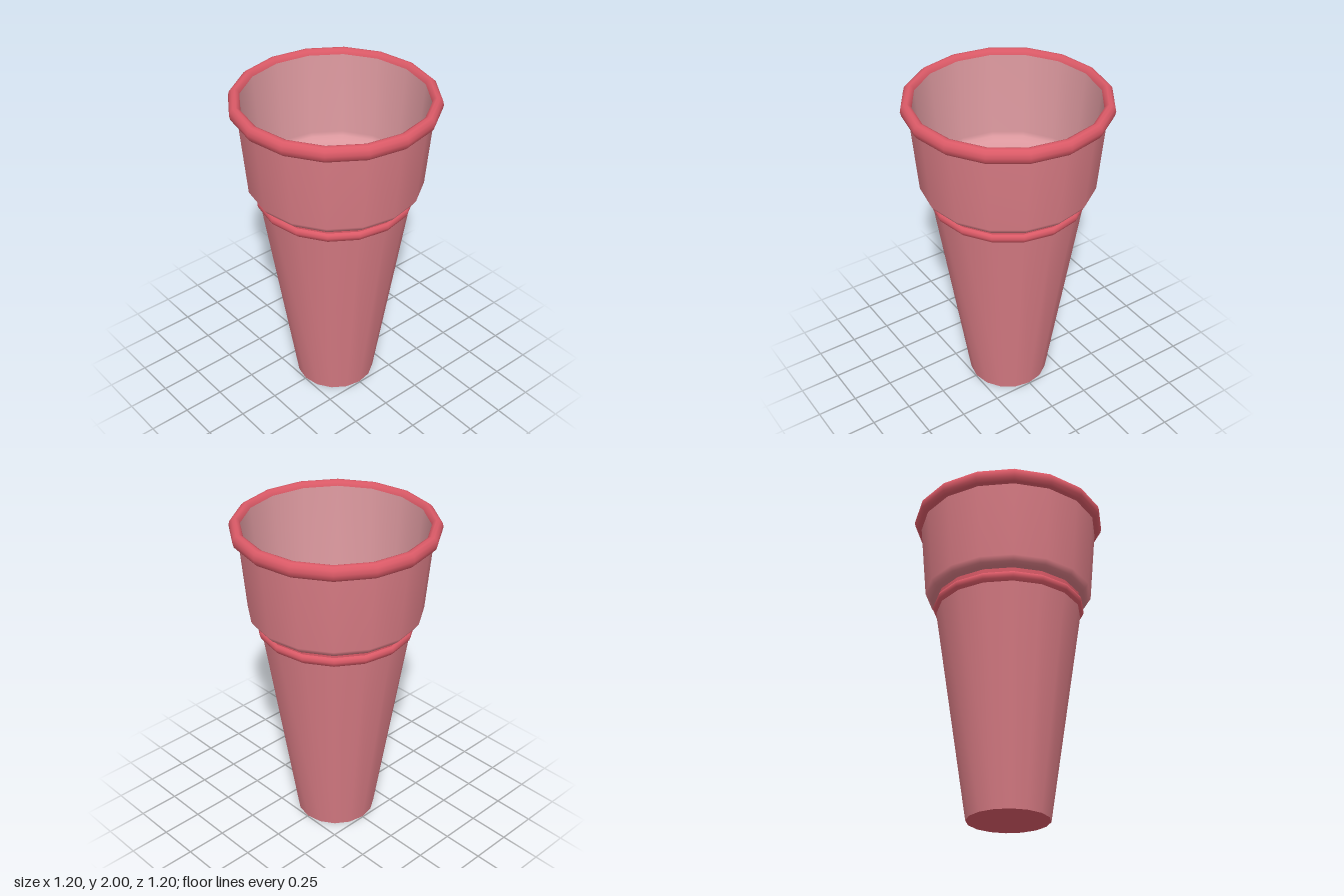
import * as THREE from 'three';

const SIDES = 16;

const material = (name, color) => {
  const m = new THREE.MeshStandardMaterial({ color });
  m.name = name;
  return m;
};

export function createModel() {
  const group = new THREE.Group();
  group.name = 'cup';
  const wall = material('dusty pink wall', 0xdb7d86);
  const trim = material('coral red trim', 0xdb5a67);
  const lining = material('pale pink lining', 0xdb989e);

  // Turns a profile of [radius, height]; upward profiles face out, downward ones face in.
  const turn = (name, mat, profile) => {
    const points = profile.map(([r, y]) => new THREE.Vector2(r, y));
    const mesh = new THREE.Mesh(new THREE.LatheGeometry(points, SIDES), mat);
    mesh.name = name;
    group.add(mesh);
  };

  const disc = (name, mat, radius, y, tilt) => {
    const mesh = new THREE.Mesh(new THREE.CircleGeometry(radius, SIDES), mat);
    mesh.name = name;
    mesh.rotation.x = tilt;
    mesh.position.y = y;
    group.add(mesh);
  };

  // Outside, from the base upward
  disc('base', trim, 0.245, 0, Math.PI / 2);
  turn('taperedBody', wall, [[0.245, 0], [0.445, 1.31]]);
  turn('collarRing', trim, [
    [0.445, 1.31], [0.461, 1.325], [0.468, 1.345], [0.462, 1.362], [0.45, 1.37],
  ]);
  turn('neckGroove', trim, [[0.45, 1.37], [0.45, 1.395]]);
  turn('upperSleeve', wall, [
    [0.45, 1.395], [0.48, 1.402], [0.495, 1.415], [0.515, 1.445], [0.555, 1.91],
  ]);

  // Rolled lip
  turn('rim', trim, [
    [0.55, 1.908], [0.578, 1.913], [0.594, 1.932], [0.6, 1.957],
    [0.594, 1.982], [0.578, 1.997], [0.56, 2], [0.543, 1.992], [0.535, 1.97],
  ]);

  // Inside, from the lip downward
  turn('upperLining', lining, [
    [0.535, 1.97], [0.492, 1.47], [0.482, 1.445], [0.46, 1.425], [0.405, 1.41],
  ]);
  turn('lowerLining', lining, [[0.405, 1.41], [0.22, 0.03]]);
  disc('innerFloor', lining, 0.22, 0.03, -Math.PI / 2);

  return group;
}
